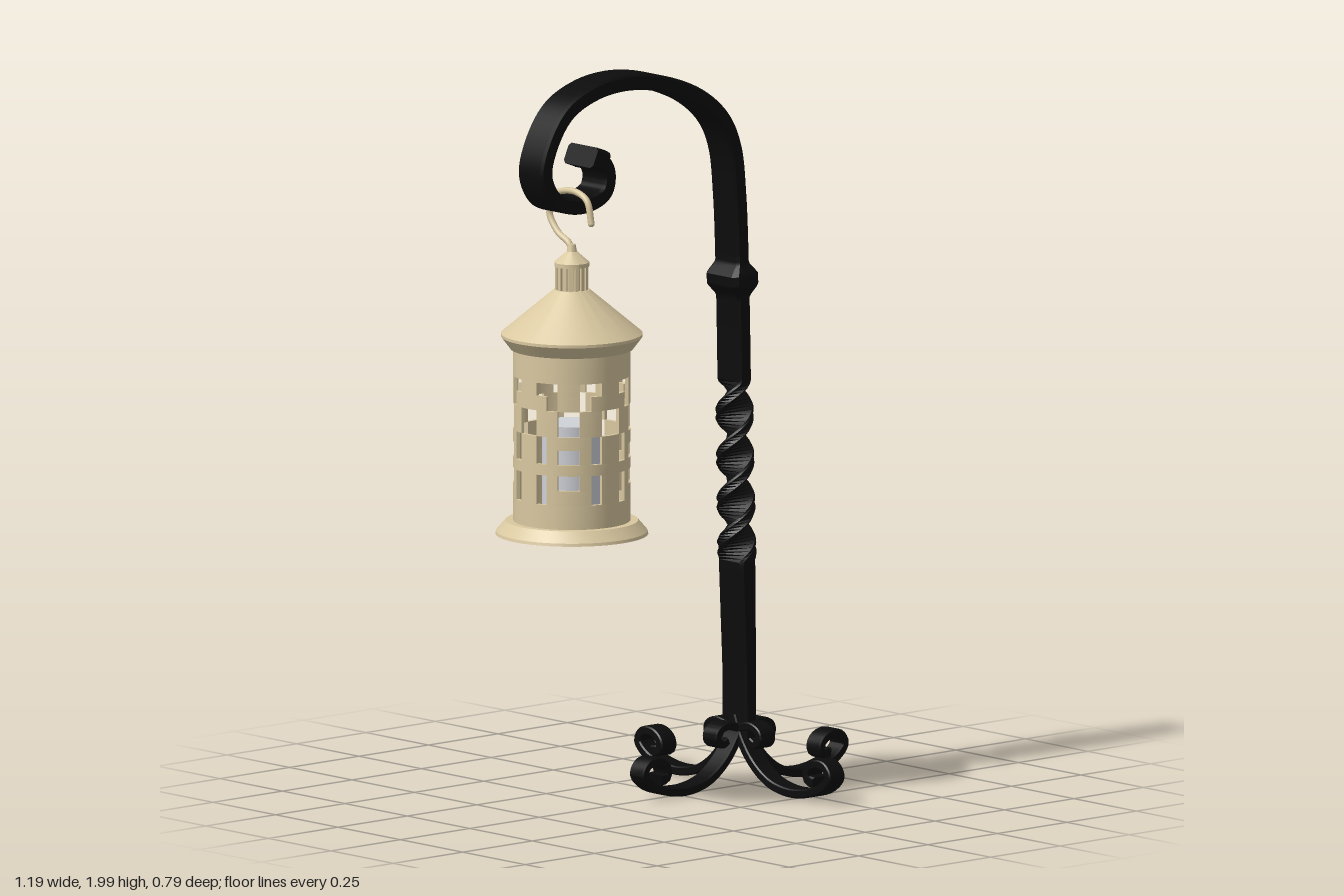
import * as THREE from 'three';
import { mergeGeometries, toCreasedNormals } from 'three/addons/utils/BufferGeometryUtils.js';

const iron = new THREE.MeshStandardMaterial({ color: 0x0c0c0c });
iron.name = 'black iron';
const tan = new THREE.MeshStandardMaterial({ color: 0xd9c8a0 });
tan.name = 'tan metal';
const wax = new THREE.MeshStandardMaterial({ color: 0xcfd2d8 });
wax.name = 'pale wax';

function add(parent, name, geometry, material) {
  const mesh = new THREE.Mesh(geometry, material);
  mesh.name = name;
  parent.add(mesh);
  return mesh;
}

// Sweeps a chamfered rectangular bar along a path in the XY plane.
// shape(point, t) gives [half thickness, half width in z, twist angle].
function sweepBar(path, steps, shape) {
  const curve = new THREE.CatmullRomCurve3(path.map(([x, y]) => new THREE.Vector3(x, y, 0)));
  const pos = [], index = [];
  for (let i = 0; i <= steps; i++) {
    const t = i / steps, p = curve.getPointAt(t), d = curve.getTangentAt(t);
    const [a, b, twist] = shape(p, t);
    const c = 0.3 * Math.min(a, b), cos = Math.cos(twist), sin = Math.sin(twist);
    const section = [[a, -b + c], [a, b - c], [a - c, b], [c - a, b],
      [-a, b - c], [-a, c - b], [c - a, -b], [a - c, -b]];
    for (const [u, v] of section) {
      const n = u * cos - v * sin, z = u * sin + v * cos;
      pos.push(p.x - d.y * n, p.y + d.x * n, z);
    }
  }
  for (let i = 0; i < steps; i++) {
    for (let j = 0; j < 8; j++) {
      const a = i * 8 + j, b = i * 8 + (j + 1) % 8;
      index.push(a, b, b + 8, a, b + 8, a + 8);
    }
  }
  const end = steps * 8;
  for (let j = 1; j < 7; j++) index.push(0, j + 1, j, end, end + j, end + j + 1);
  const g = new THREE.BufferGeometry();
  g.setAttribute('position', new THREE.Float32BufferAttribute(pos, 3));
  g.setIndex(index);
  return toCreasedNormals(g, 0.5);
}

function lathe(profile, segments = 48) {
  const g = new THREE.LatheGeometry(profile.map(([r, y]) => new THREE.Vector2(r, y)), segments);
  return toCreasedNormals(g, 0.4);
}

// Pierced wall: each run of solid cells is a box bent around the axis.
function piercedWall(radius, thickness, rows) {
  const pieces = [], cell = Math.PI / 16;
  for (const [y0, y1, quarter] of rows) {
    const mask = quarter.repeat(4);
    for (let s = 0; s < 32; s++) {
      if (mask[s] !== '#') continue;
      let n = 1;
      while (s + n < 32 && mask[s + n] === '#') n++;
      const g = new THREE.BoxGeometry(n * cell, y1 - y0, thickness, n * 2, 1, 1);
      const p = g.attributes.position;
      for (let i = 0; i < p.count; i++) {
        const angle = p.getX(i) + (s + n / 2) * cell;
        const r = radius - thickness / 2 + p.getZ(i);
        p.setXYZ(i, r * Math.sin(angle), p.getY(i) + (y0 + y1) / 2, r * Math.cos(angle));
      }
      pieces.push(toCreasedNormals(g, 0.4));
      s += n - 1;
    }
  }
  return mergeGeometries(pieces);
}

function makePole() {
  const path = [[0.22, 0.14], [0.22, 0.3], [0.215, 0.5], [0.205, 0.9], [0.2, 1.2], [0.195, 1.4],
    [0.185, 1.62], [0.168, 1.75], [0.13, 1.83], [0.05, 1.9], [-0.08, 1.955], [-0.21, 1.977],
    [-0.33, 1.965], [-0.43, 1.92], [-0.49, 1.84], [-0.513, 1.755], [-0.48, 1.69], [-0.42, 1.665],
    [-0.35, 1.665], [-0.295, 1.69], [-0.285, 1.735], [-0.305, 1.77], [-0.35, 1.79]];
  return sweepBar(path, 320, (p, t) => {
    const twist = THREE.MathUtils.clamp((p.y - 0.625) / 0.485, 0, 1) * Math.PI * 4;
    const collar = Math.min(1, 1.5 * Math.max(0, 1 - Math.abs(p.y - 1.39) / 0.045));
    const swell = 0.007 * Math.max(0, 1 - Math.abs(p.y - 0.6) / 0.3);
    const tip = t > 0.982 ? 1 : 0;
    return [0.022 + swell + 0.026 * collar + 0.007 * tip,
      0.049 + 0.015 * collar + 0.01 * tip, twist];
  });
}

function makeLantern() {
  const lantern = new THREE.Group();
  lantern.name = 'lantern';
  lantern.position.set(-0.39, 0, 0.008);

  add(lantern, 'base', lathe([[0, 0.768], [0.205, 0.768], [0.203, 0.776], [0.178, 0.805], [0, 0.805]]), tan);
  add(lantern, 'piercedWall', piercedWall(0.157, 0.01, [
    [0.8, 0.87, '########'],
    [0.87, 0.91, '#.####.#'],
    [0.91, 0.95, '#.#..#.#'],
    [0.95, 0.98, '########'],
    [0.98, 1.02, '#.#..#.#'],
    [1.02, 1.055, '#.####.#'],
    [1.055, 1.125, '.##..##.'],
    [1.125, 1.165, '##.##.##'],
    [1.165, 1.2, '#..##..#'],
    [1.2, 1.28, '########']]), tan);
  const candle = add(lantern, 'candle', new THREE.CylinderGeometry(0.08, 0.08, 0.27, 32), wax);
  candle.position.y = 0.935;

  add(lantern, 'roof', lathe([[0, 1.272], [0.165, 1.272], [0.19, 1.305], [0.19, 1.313],
    [0.048, 1.432], [0, 1.432]]), tan);
  add(lantern, 'neck', lathe([[0.038, 1.43], [0.038, 1.5]], 24), tan);
  // Ribs around the neck
  const ribs = [];
  for (let i = 0; i < 16; i++) {
    const rib = new THREE.BoxGeometry(0.01, 0.065, 0.012);
    rib.translate(0, 1.465, 0.039).rotateY((i * Math.PI) / 8);
    ribs.push(rib);
  }
  add(lantern, 'neckRibs', mergeGeometries(ribs), tan);
  add(lantern, 'finial', lathe([[0, 1.495], [0.047, 1.495], [0.047, 1.506], [0.014, 1.535],
    [0.01, 1.555], [0, 1.556]], 32), tan);

  // Hanging hook over the scroll of the arm
  const hook = new THREE.CatmullRomCurve3([[1.53, 0], [1.555, -0.01], [1.58, -0.055], [1.63, -0.09],
    [1.68, -0.07], [1.697, -0.025], [1.697, 0.025], [1.678, 0.062], [1.62, 0.078]]
    .map(([y, z]) => new THREE.Vector3(0, y, z)));
  add(lantern, 'hook', new THREE.TubeGeometry(hook, 48, 0.009, 10), tan);
  const tip = add(lantern, 'hookTip', new THREE.SphereGeometry(0.009, 10, 8), tan);
  tip.position.set(0, 1.62, 0.078);
  return lantern;
}

export function createModel() {
  const model = new THREE.Group();
  model.name = 'lanternStand';
  add(model, 'poleAndArm', makePole(), iron);

  // Four scrolled feet, each with a small curl at the top
  const foot = sweepBar([[0.0, 0.2], [0.025, 0.14], [0.07, 0.08], [0.13, 0.037], [0.2, 0.02],
    [0.27, 0.025], [0.33, 0.047], [0.36, 0.08], [0.342, 0.108], [0.305, 0.11], [0.278, 0.09],
    [0.278, 0.066], [0.305, 0.06]], 70, (p, t) => [t > 0.96 ? 0.015 : 0.012, 0.028, 0]);
  const curl = sweepBar([[0.0, 0.155], [0.03, 0.172], [0.065, 0.178], [0.095, 0.163], [0.097, 0.142],
    [0.08, 0.13], [0.062, 0.138]], 36, () => [0.011, 0.028, 0]);
  for (let i = 0; i < 4; i++) {
    const leg = new THREE.Group();
    leg.name = 'leg' + (i + 1);
    leg.position.x = 0.22;
    leg.rotation.y = (i * Math.PI) / 2;
    if (i % 2) leg.scale.x = 1.06;
    add(leg, 'foot', foot, iron);
    add(leg, 'topCurl', curl, iron);
    model.add(leg);
  }

  model.add(makeLantern());
  return model;
}
